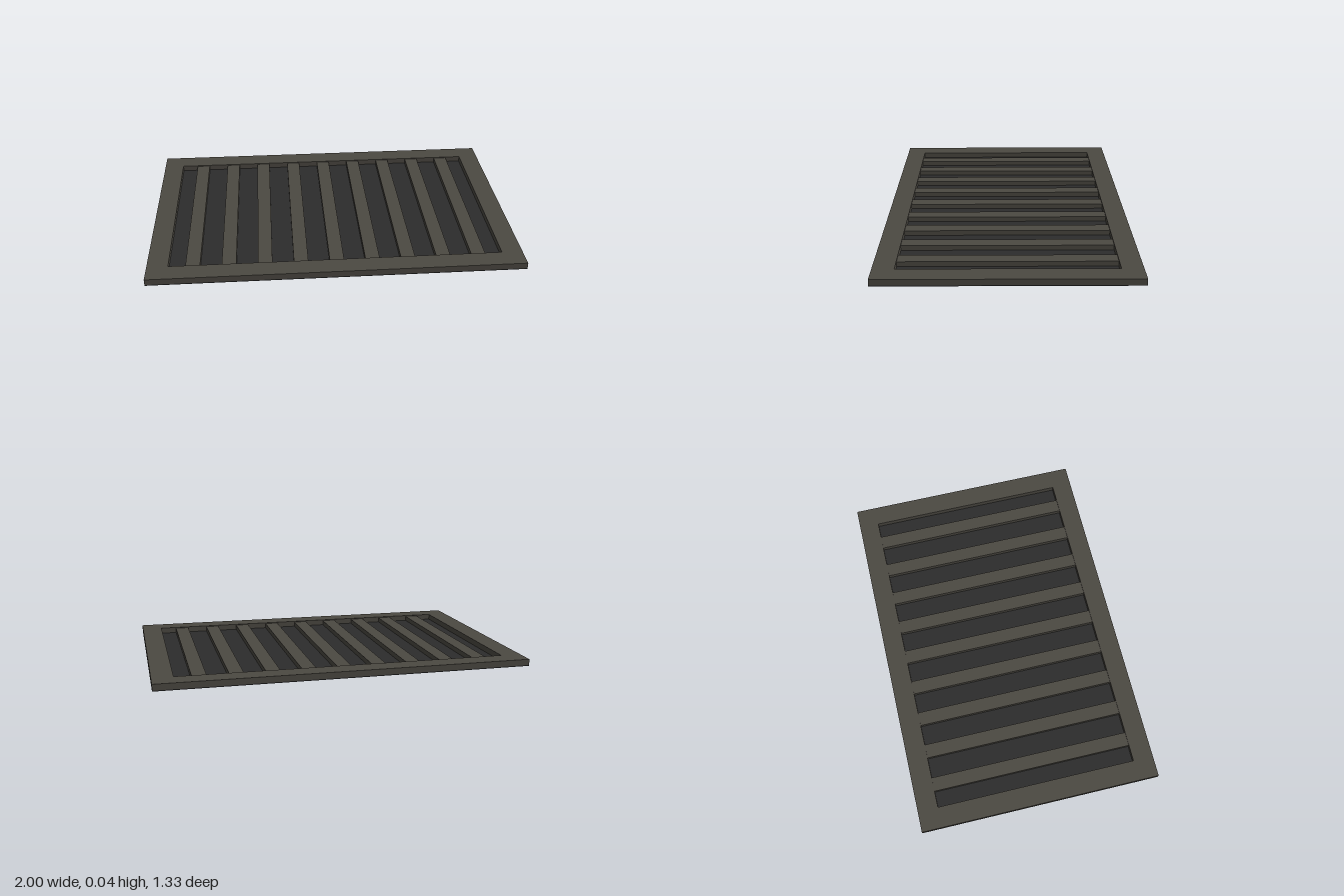
import * as THREE from 'three';

const HALF_X = 1, HALF_Z = 0.667;      // outer size
const OPEN_X = 0.888, OPEN_Z = 0.555;  // opening inside the frame
const BASE = 0.005, TOP = 0.037, BAR_TOP = 0.032;

export function createModel() {
  const group = new THREE.Group();
  const iron = new THREE.MeshStandardMaterial({ name: 'warm grey iron', color: 0x4c4942 });
  const dark = new THREE.MeshStandardMaterial({ name: 'dark backing', color: 0x2c2c2c });

  const add = (name, geometry, material, x, y, z) => {
    const mesh = new THREE.Mesh(geometry, material);
    mesh.name = name;
    mesh.position.set(x, y, z);
    group.add(mesh);
  };

  // Thin backing plate closing the underside
  add('backingPlate', new THREE.BoxGeometry(HALF_X * 2, BASE, HALF_Z * 2), dark, 0, BASE / 2, 0);

  // Rectangular frame with one large opening
  const rectangle = (path, w, h) =>
    path.moveTo(-w, -h).lineTo(w, -h).lineTo(w, h).lineTo(-w, h).closePath();
  const outline = rectangle(new THREE.Shape(), HALF_X, HALF_Z);
  outline.holes.push(rectangle(new THREE.Path(), OPEN_X, OPEN_Z));
  const frame = new THREE.ExtrudeGeometry(outline, { depth: TOP - BASE, bevelEnabled: false });
  frame.rotateX(-Math.PI / 2);
  add('frame', frame, iron, 0, BASE, 0);

  // Nine evenly spaced bars, slightly below the frame
  const bar = new THREE.BoxGeometry(0.076, BAR_TOP - BASE, OPEN_Z * 2);
  for (let i = -4; i <= 4; i++) {
    add('bar', bar, iron, i * 0.19, (BASE + BAR_TOP) / 2, 0);
  }

  return group;
}
